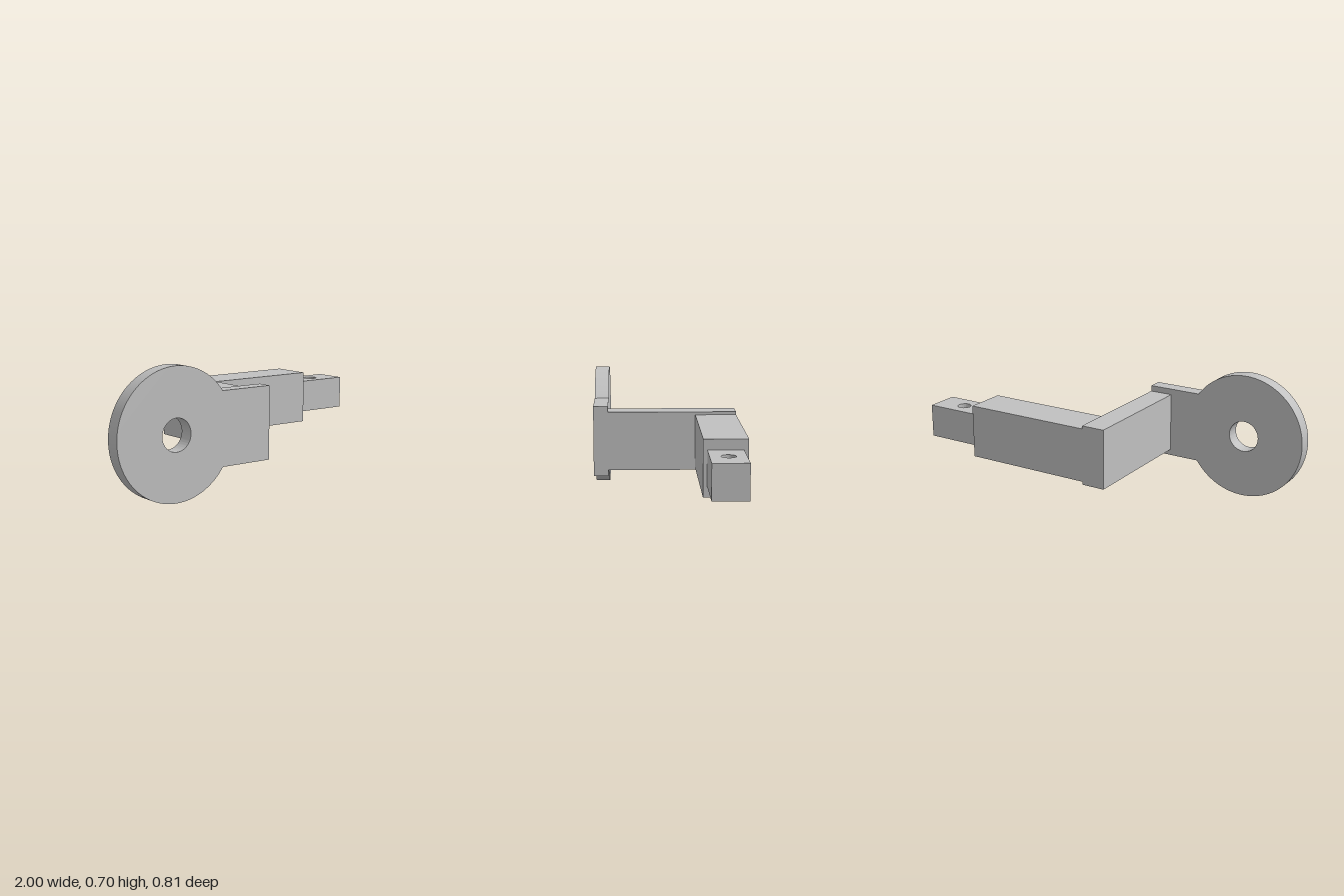
import * as THREE from 'three';
import { toCreasedNormals } from 'three/addons/utils/BufferGeometryUtils.js';

const steel = new THREE.MeshStandardMaterial({ color: 0xc0c0c0 });
steel.name = 'light grey metal';

function part(name, geometry) {
  const mesh = new THREE.Mesh(geometry, steel);
  mesh.name = name;
  return mesh;
}

// Box given by its lower and upper limits on each axis
function block(name, [x0, x1], [y0, y1], [z0, z1]) {
  const g = new THREE.BoxGeometry(x1 - x0, y1 - y0, z1 - z0);
  g.translate((x0 + x1) / 2, (y0 + y1) / 2, (z0 + z1) / 2);
  return part(name, g);
}

// Extrude a shape with one round hole, smooth on the curves and sharp at corners
function drilled(shape, x, y, r, depth) {
  shape.holes.push(new THREE.Path().absarc(x, y, r, 0, Math.PI * 2, true));
  const g = new THREE.ExtrudeGeometry(shape, { depth, bevelEnabled: false, curveSegments: 64 });
  return toCreasedNormals(g, Math.PI / 6);
}

export function createModel() {
  const group = new THREE.Group();
  group.name = 'offsetCrankArm';

  // Round eye plate with a straight tab
  const cx = -0.65, cy = 0.35, r = 0.35, half = 0.2, tabEnd = -0.055;
  const a = Math.asin(half / r);
  const eye = new THREE.Shape();
  eye.moveTo(tabEnd, cy - half);
  eye.lineTo(tabEnd, cy + half);
  eye.absarc(cx, cy, r, a, Math.PI * 2 - a, false);
  eye.closePath();
  const eyeGeometry = drilled(eye, cx, cy, 0.087, 0.082);
  eyeGeometry.translate(0, 0, 0.321);
  group.add(part('eyePlate', eyeGeometry));

  // Web running back from the plate, then the arm running sideways
  group.add(block('web', [-0.187, tabEnd], [0.183, 0.517], [-0.403, 0.321]));
  group.add(block('arm', [tabEnd, 0.68], [0.2, 0.5], [-0.403, -0.172]));

  // Square end pin with a vertical cross hole
  const pin = new THREE.Shape();
  pin.moveTo(0.68, 0.193);
  pin.lineTo(1, 0.193);
  pin.lineTo(1, 0.379);
  pin.lineTo(0.68, 0.379);
  pin.closePath();
  const pinGeometry = drilled(pin, 0.833, 0.288, 0.038, 0.186);
  pinGeometry.rotateX(-Math.PI / 2);
  pinGeometry.translate(0, 0.257, 0);
  group.add(part('endPin', pinGeometry));

  return group;
}
